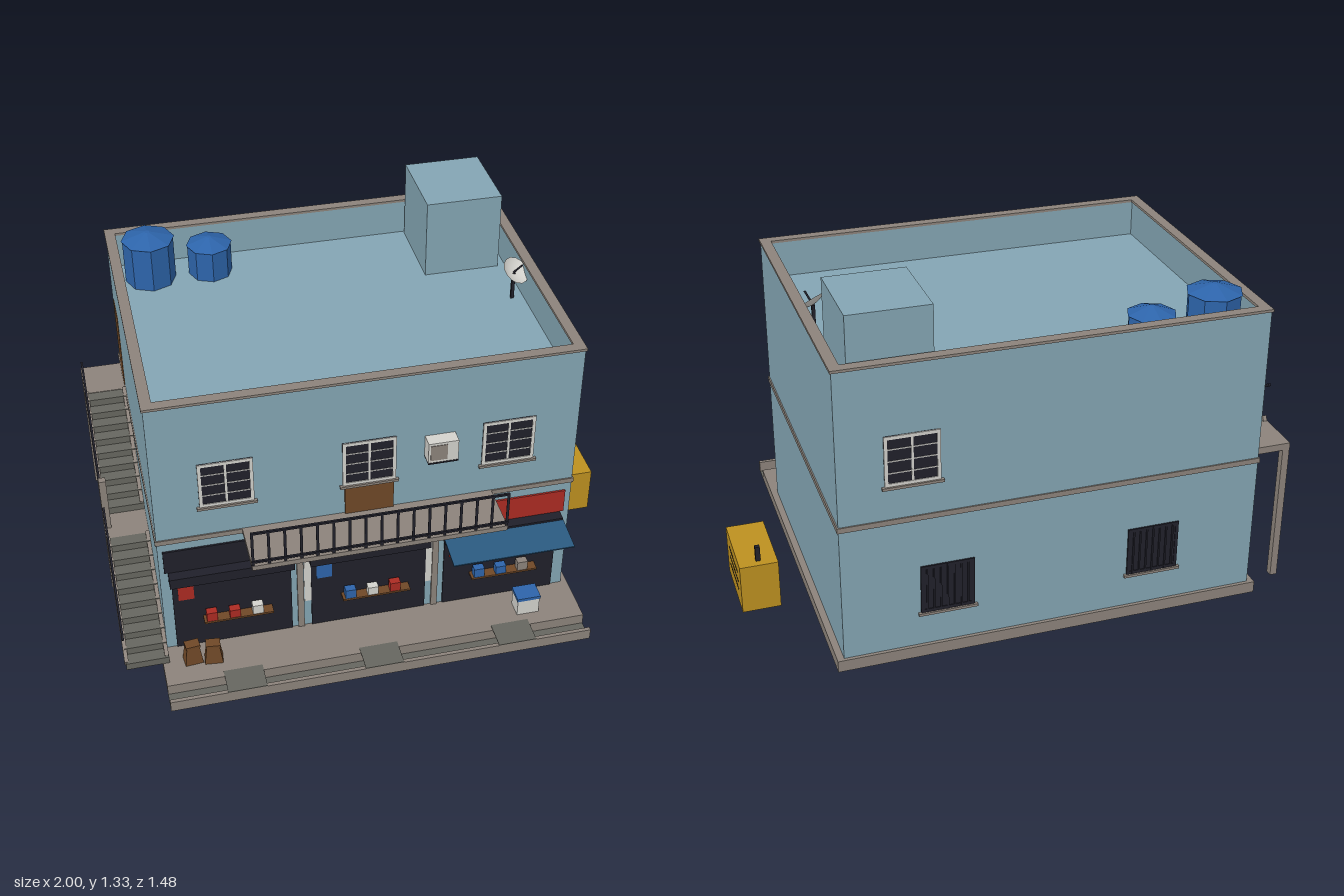
import * as THREE from 'three';

const mat = (name, color) => {
  const m = new THREE.MeshStandardMaterial({ color });
  m.name = name;
  return m;
};

export function createModel() {
  const wall = mat('blue wall', 0x84a5b3), concrete = mat('concrete', 0x8c837b);
  const darkConcrete = mat('dark concrete', 0x66665f), dark = mat('dark', 0x20202a);
  const white = mat('off white', 0xd3d2cd), red = mat('red', 0xac2b23);
  const blue = mat('blue', 0x2d64aa), canvas = mat('canvas blue', 0x2a597f);
  const wood = mat('wood', 0x6f4827), yellow = mat('yellow', 0xbd9020);
  canvas.side = THREE.DoubleSide;
  white.side = THREE.DoubleSide;

  const root = new THREE.Group();
  root.name = 'shopBuilding';
  const add = (parent, name, geo, m, x = 0, y = 0, z = 0) => {
    const mesh = new THREE.Mesh(geo, m);
    mesh.name = name;
    mesh.position.set(x, y, z);
    parent.add(mesh);
    return mesh;
  };
  // Box given by its limits on each axis
  const box = (name, m, x0, x1, y0, y1, z0, z1, parent = root) =>
    add(parent, name, new THREE.BoxGeometry(x1 - x0, y1 - y0, z1 - z0), m,
      (x0 + x1) / 2, (y0 + y1) / 2, (z0 + z1) / 2);
  // Sloping bar running in the z-y plane
  const beam = (name, m, x, w, t, za, ya, zb, yb) => {
    const dz = zb - za, dy = yb - ya;
    const b = add(root, name, new THREE.BoxGeometry(w, t, Math.hypot(dz, dy)), m, x, (ya + yb) / 2, (za + zb) / 2);
    b.rotation.x = -Math.atan2(dy, dz);
  };
  const group = (name, x = 0, y = 0, z = 0) => {
    const g = new THREE.Group();
    g.name = name;
    g.position.set(x, y, z);
    root.add(g);
    return g;
  };
  const faceted = geo => {
    const g = geo.toNonIndexed();
    g.computeVertexNormals();
    return g;
  };

  // Pavement, drain and cover slabs
  const L = -0.835, R = 0.72, F = 0.46, B = -0.727;
  box('pavement', concrete, -0.86, 0.745, 0, 0.045, -0.74, 0.655);
  box('drainFloor', darkConcrete, -0.86, 0.745, 0, 0.002, 0.655, 0.722);
  box('kerb', concrete, -0.86, 0.745, 0, 0.045, 0.722, 0.737);
  for (const x of [-0.575, -0.06, 0.455])
    box('drainCover', darkConcrete, x - 0.073, x + 0.073, 0.045, 0.048, 0.63, 0.737);

  // Walls, roof and parapet
  const roofY = 1.017, topY = 1.157, t = 0.03;
  box('walls', wall, L, R, 0.045, roofY, B, F);
  const ring = (name, m, y0, y1, out, inn) => {
    box(name, m, L - out, R + out, y0, y1, F - inn, F + out);
    box(name, m, L - out, R + out, y0, y1, B - out, B + inn);
    box(name, m, L - out, L + inn, y0, y1, B + inn, F - inn);
    box(name, m, R - inn, R + out, y0, y1, B + inn, F - inn);
  };
  ring('parapet', wall, roofY, topY, 0, t);
  ring('coping', concrete, topY, 1.167, 0.005, t + 0.005);
  ring('stringCourse', concrete, 0.56, 0.58, 0.005, 0.01);

  // Roof hut, water tanks and dish
  box('roofHut', wall, 0.364, 0.66, roofY, 1.33, -0.682, -0.355);
  for (const [x, r, h] of [[-0.685, 0.101, 0.178], [-0.45, 0.088, 0.125]]) {
    const g = group('waterTank', x, roofY, -0.58);
    add(g, 'tankBody', faceted(new THREE.CylinderGeometry(r * 0.97, r * 0.97, h, 8)), blue, 0, h / 2, 0);
    add(g, 'tankLid', faceted(new THREE.CylinderGeometry(r * 0.1, r * 1.02, 0.03, 8)), blue, 0, h + 0.015, 0);
  }
  const dish = group('satelliteDish', 0.645, 1.13, -0.125);
  box('dishPole', dark, -0.006, 0.006, roofY - 1.13, 0, -0.006, 0.006, dish);
  const bowl = group('dishBowl');
  dish.add(bowl);
  bowl.rotation.set(0.55, 0, -0.4);
  const cap = new THREE.SphereGeometry(0.1, 14, 4, 0, Math.PI * 2, 0, 0.6);
  add(bowl, 'dishReflector', cap.rotateX(Math.PI).translate(0, 0.1, 0), white);
  add(bowl, 'dishFeed', new THREE.CylinderGeometry(0.004, 0.004, 0.055, 6), dark, 0, 0.03, 0);

  // Shop fronts: shutter, signboard, poster, shelf and goods
  box('shopPaint', white, -0.305, 0.19, 0.17, 0.555, F, F + 0.003);
  const shops = [
    [-0.575, dark, red, -0.56, [red, red, white]],
    [-0.058, white, blue, -0.035, [blue, white, red]],
    [0.455, red, red, 0.467, [blue, blue, concrete]],
  ];
  for (const [x, sign, poster, sx, goods] of shops) {
    box('shutter', dark, x - 0.221, x + 0.221, 0.045, 0.39, F, F + 0.005);
    box('shutterBox', dark, x - 0.229, x + 0.229, 0.378, 0.422, F, 0.504);
    box('signboard', sign, x - 0.242, x + 0.242, 0.425, 0.525, F, F + 0.007);
    box('poster', poster, x - 0.2, x - 0.142, 0.28, 0.37, F + 0.005, F + 0.007);
    box('shelf', wood, sx - 0.13, sx + 0.13, 0.178, 0.186, F, 0.505);
    goods.forEach((m, i) => {
      const gx = sx - 0.1 + i * 0.086;
      box('goods', m, gx - 0.02, gx + 0.02, 0.186, 0.226 - 0.004 * (i % 2), 0.473, 0.503);
    });
  }
  for (const x of [-0.32, 0.2]) box('pillar', concrete, x - 0.012, x + 0.012, 0.045, 0.56, F, F + 0.008);
  beam('awning', canvas, 0.453, 0.465, 0.006, F, 0.417, 0.635, 0.393);

  // Cooler and stools on the pavement
  box('coolerBox', white, 0.497, 0.583, 0.045, 0.115, 0.53, 0.597);
  box('coolerLid', blue, 0.494, 0.586, 0.115, 0.128, 0.527, 0.6);
  for (const [x, z, a] of [[-0.748, 0.545, 0.1], [-0.672, 0.557, -0.1]]) {
    const g = group('stool', x, 0.045, z);
    g.rotation.y = a;
    box('stoolSeat', wood, -0.027, 0.027, 0.076, 0.086, -0.02, 0.02, g);
    const base = new THREE.CylinderGeometry(0.034, 0.048, 0.078, 4).rotateY(Math.PI / 4).scale(1, 1, 0.75);
    add(g, 'stoolBase', faceted(base), wood, 0, 0.039, 0);
  }

  // Windows are built facing +z around their centre and turned for the back
  const windowAt = (x, y, back, barred) => {
    const g = group('window', x, y, back ? B : F), w = 0.098, h = 0.095;
    if (back) g.rotation.y = Math.PI;
    box('glass', dark, -w, w, -h, h, 0, 0.003, g);
    const m = barred ? dark : white, e = 0.012;
    for (const s of [-1, 1]) {
      box('frameSide', m, s * (w - e / 2) - e / 2, s * (w - e / 2) + e / 2, -h, h, 0, 0.006, g);
      box('frameRail', m, -w, w, s * (h - e / 2) - e / 2, s * (h - e / 2) + e / 2, 0, 0.006, g);
    }
    if (barred) {
      for (let i = -3; i <= 3; i++) box('bar', m, i * 0.025 - 0.003, i * 0.025 + 0.003, -h, h, 0.003, 0.007, g);
    } else {
      box('mullion', m, -0.004, 0.004, -h, h, 0, 0.005, g);
      for (const i of [-1, 0, 1]) box('glazingBar', m, -w, w, i * 0.045 - 0.002, i * 0.045 + 0.002, 0, 0.005, g);
    }
    box('sill', concrete, -w - 0.01, w + 0.01, -h - 0.01, -h, 0, 0.013, g);
  };
  for (const x of [-0.573, -0.058, 0.458]) windowAt(x, 0.805, false, false);
  windowAt(0.458, 0.805, true, false);
  for (const x of [0.34, -0.435]) windowAt(x, 0.275, true, true);

  // Doors and meter boxes
  box('balconyDoor', wood, -0.148, 0.032, 0.58, 0.7, F, F + 0.008);
  box('sideDoor', wood, L - 0.003, L, 0.58, 0.9, -0.64, -0.5);
  box('meterBox', white, L - 0.004, L, 0.2, 0.29, -0.685, -0.615);
  box('meterBox', blue, L - 0.004, L, 0.2, 0.29, -0.6, -0.53);

  // Air conditioner
  box('airConditioner', white, 0.145, 0.256, 0.795, 0.88, F, 0.511);
  box('airGrille', concrete, 0.153, 0.215, 0.805, 0.87, 0.511, 0.513);
  box('airBracket', dark, 0.145, 0.256, 0.789, 0.795, F, 0.513);

  // Balcony and its railing
  box('balconySlab', concrete, -0.525, 0.405, 0.56, 0.58, F, 0.665);
  for (const y of [0.597, 0.728]) box('balconyRail', dark, -0.525, 0.405, y - 0.004, y + 0.004, 0.658, 0.666);
  for (let i = 0; i <= 16; i++) {
    const x = -0.521 + i * 0.922 / 16;
    box('baluster', dark, x - 0.005, x + 0.005, 0.58, 0.728, 0.661, 0.663);
  }

  // Outside stair: two flights with stringers, two landings, handrails and posts
  const sx0 = -1, sx1 = L, n = 9, run = 0.44 / n, rise = 0.265 / n;
  for (const [z0, y0] of [[0.54, 0.045], [-0.04, 0.31]]) {
    for (let i = 0; i < n; i++) {
      const z = z0 - i * run, y = y0 + i * rise;
      box('step', darkConcrete, sx0 + 0.005, sx1, y, y + rise, z - run, z);
    }
    const za = z0 - 0.02, ya = y0 + 0.012, zb = z0 - 0.44, yb = y0 + 0.265;
    for (const x of [sx0 + 0.008, sx1 - 0.008]) beam('stringer', concrete, x, 0.015, 0.046, za, ya, zb, yb);
    beam('stairSoffit', concrete, (sx0 + sx1) / 2, sx1 - sx0 - 0.02, 0.02, za, ya - 0.018, zb, yb - 0.018);
    beam('handrail', dark, -0.995, 0.008, 0.011, z0, y0 + 0.155, zb, yb + 0.155);
  }
  box('middleLanding', concrete, sx0, sx1, 0.28, 0.31, -0.04, 0.1);
  box('upperLanding', concrete, sx0, sx1, 0.55, 0.577, -0.66, -0.48);
  for (const [z, h] of [[0.028, 0.54], [-0.645, 0.55]]) box('stairPost', concrete, -1, -0.973, 0, h, z - 0.0135, z + 0.0135);

  // Generator
  box('generator', yellow, 0.855, 0.999, 0, 0.193, -0.282, 0.015);
  for (const y of [0.063, 0.101, 0.139]) box('generatorVent', dark, 0.997, 1, y - 0.004, y + 0.004, -0.222, -0.043);
  box('generatorExhaust', dark, 0.915, 0.933, 0.193, 0.252, -0.253, -0.235);

  return root;
}
